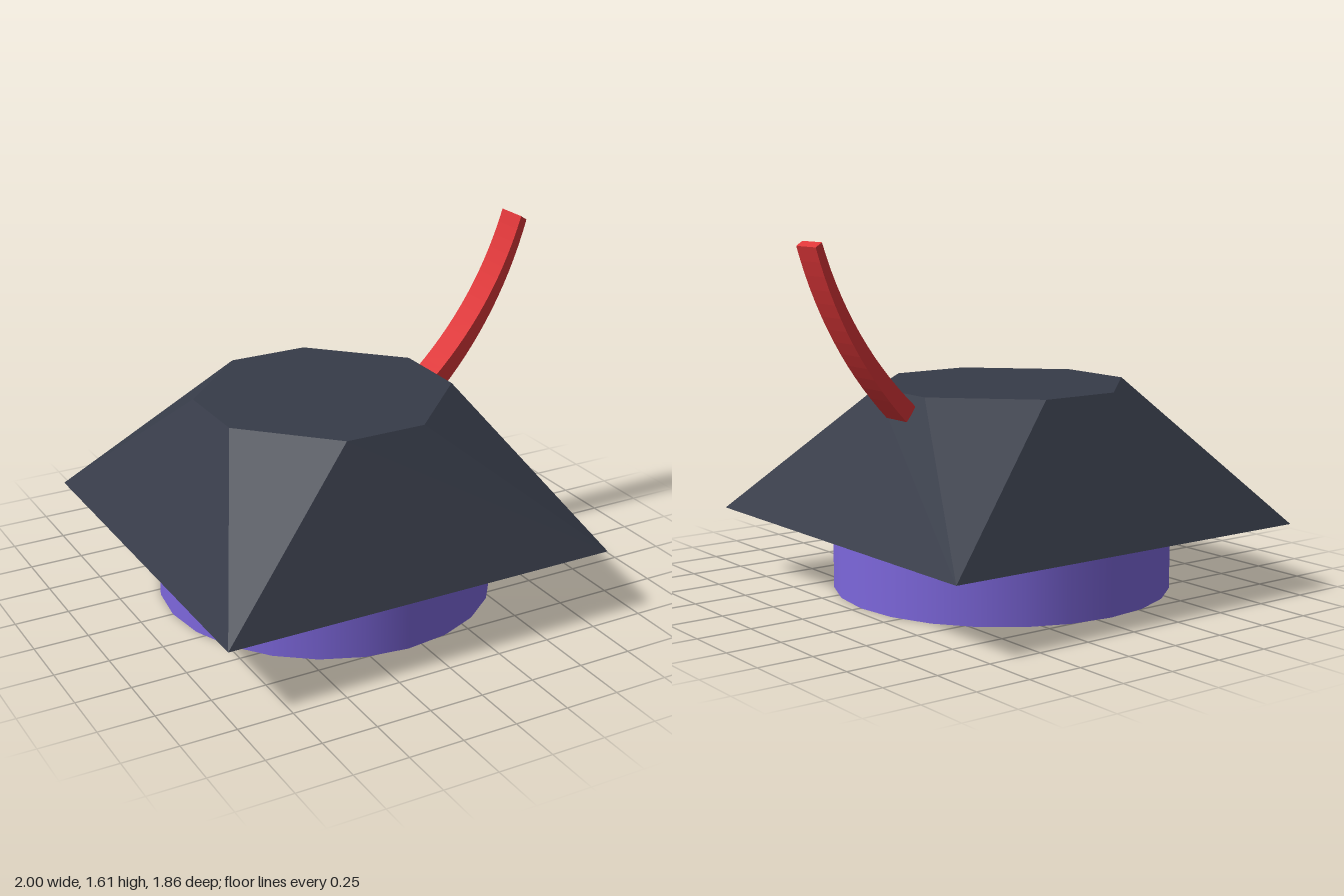
import * as THREE from 'three';
import { ConvexGeometry } from 'three/addons/geometries/ConvexGeometry.js';

const CENTRE_X = -0.07;
const BAND_TOP = 0.315;

function part(name, geometry, color, options = {}) {
  const mesh = new THREE.Mesh(geometry, new THREE.MeshStandardMaterial({ color, ...options }));
  mesh.name = name;
  return mesh;
}

// Revolve separate straight profile segments so the edges between them stay sharp.
function revolve(name, profile, color) {
  const group = new THREE.Group();
  group.name = name;
  for (let i = 0; i < profile.length - 1; i++) {
    const points = [profile[i], profile[i + 1]].map(([r, y]) => new THREE.Vector2(r, y));
    group.add(part(name + 'Surface', new THREE.LatheGeometry(points, 24), color, { side: THREE.DoubleSide }));
  }
  group.position.x = CENTRE_X;
  return group;
}

export function createModel() {
  const model = new THREE.Group();
  model.name = 'hat';
  const dark = 0x363b48;

  // Faceted crown: square brim tapering to an octagonal top
  const corners = [];
  for (const sx of [-1, 1]) {
    for (const sz of [-1, 1]) {
      corners.push(
        new THREE.Vector3(sx * 0.93, BAND_TOP, sz * 0.93),
        new THREE.Vector3(sx * 0.19, 0.935, sz * 0.56),
        new THREE.Vector3(sx * 0.56, 0.935, sz * 0.19)
      );
    }
  }
  const crown = part('crown', new ConvexGeometry(corners), dark, { flatShading: true });
  crown.position.x = CENTRE_X;
  model.add(crown);

  // Round head band with a flat lower rim
  model.add(revolve('headBand', [[0.62, 0], [0.775, 0], [0.775, BAND_TOP]], 0x7d67dc));

  // Lining: sloped lip, upright wall and flat ceiling
  model.add(revolve('lining', [[0.62, 0], [0.465, 0.073], [0.465, 0.23], [0, 0.23]], dark));

  // Curved tassel, tapering towards its tip
  const outline = new THREE.Shape();
  outline.moveTo(0.56, 0.83);
  outline.quadraticCurveTo(0.87, 1.15, 1.0, 1.59);
  outline.lineTo(0.97, 1.61);
  outline.quadraticCurveTo(0.835, 1.19, 0.51, 0.89);
  outline.closePath();
  const tasselGeometry = new THREE.ExtrudeGeometry(outline, { depth: 0.155, bevelEnabled: false, curveSegments: 14 });
  const tassel = part('tassel', tasselGeometry, 0xdc3638);
  tassel.position.z = -0.155;
  model.add(tassel);

  return model;
}
